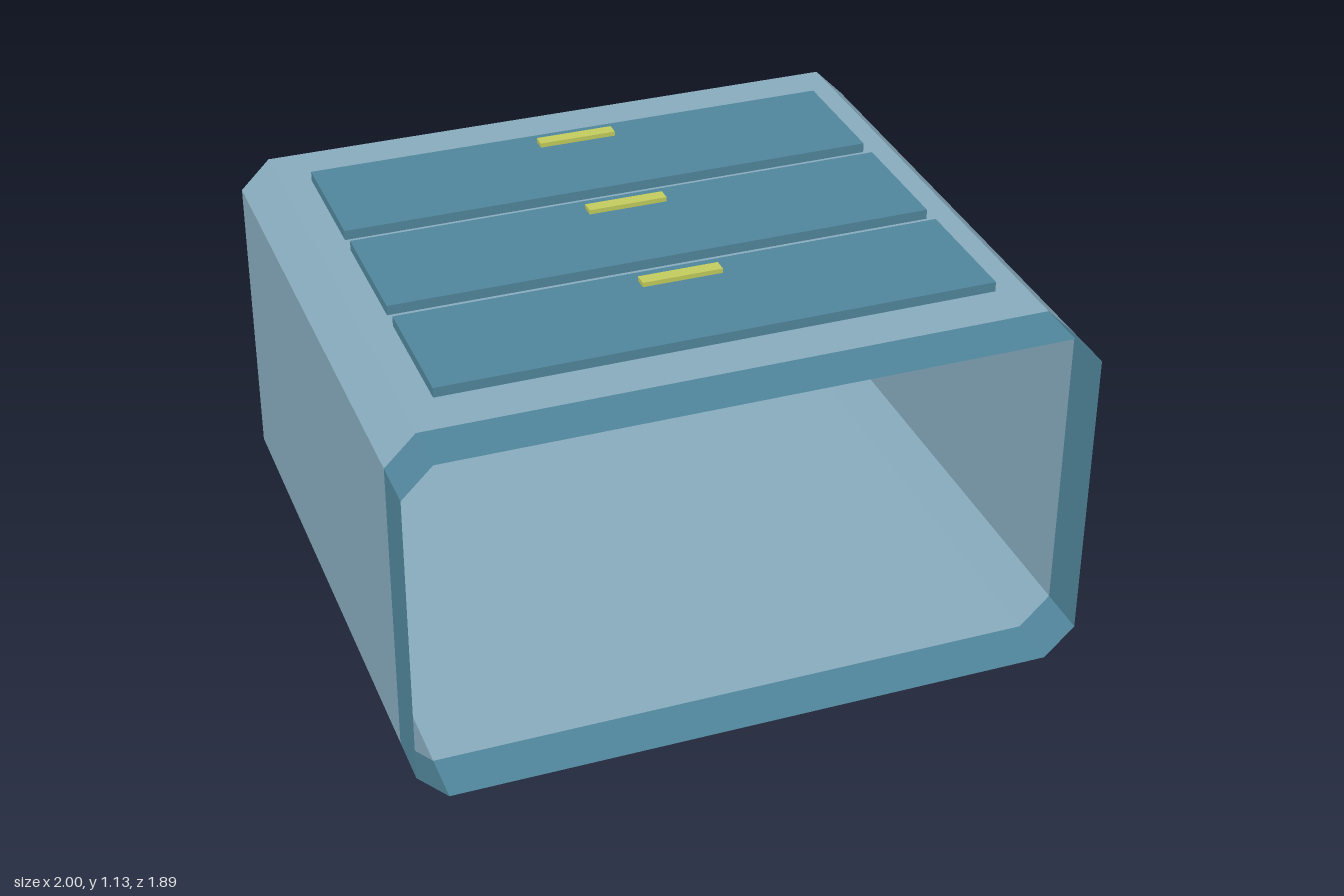
import * as THREE from 'three';

const material = (name, color, side = THREE.FrontSide) => {
  const m = new THREE.MeshStandardMaterial({ color, side });
  m.name = name;
  return m;
};

// Chamfered rectangle, anticlockwise seen from the front
const W = 1, H = 1.09, C = 0.09;
const ringAt = (z) => [
  [W - C, 0], [W, C], [W, H - C], [W - C, H],
  [-W + C, H], [-W, H - C], [-W, C], [-W + C, 0],
].map(([x, y]) => [x, y, z]);

// Smaller rectangle of the back wall, with each corner doubled to match the rings
const backRing = (z) => [
  [W - C, C], [W - C, C], [W - C, H - C], [W - C, H - C],
  [-W + C, H - C], [-W + C, H - C], [-W + C, C], [-W + C, C],
].map(([x, y]) => [x, y, z]);

const same = (a, b) => a.every((v, i) => v === b[i]);

// Flat faces between a front ring and a rear ring
function bandTriangles(front, rear) {
  const out = [];
  const tri = (a, b, c) => {
    if (!same(a, b) && !same(b, c) && !same(a, c)) out.push(...a, ...b, ...c);
  };
  front.forEach((a, i) => {
    const j = (i + 1) % front.length;
    tri(a, rear[i], rear[j]);
    tri(a, rear[j], front[j]);
  });
  return out;
}

function meshFrom(name, positions, mat) {
  const geo = new THREE.BufferGeometry();
  geo.setAttribute('position', new THREE.Float32BufferAttribute(positions, 3));
  geo.computeVertexNormals();
  const mesh = new THREE.Mesh(geo, mat);
  mesh.name = name;
  return mesh;
}

function box(name, w, h, d, y, z, mat) {
  const mesh = new THREE.Mesh(new THREE.BoxGeometry(w, h, d), mat);
  mesh.position.set(0, y, z);
  mesh.name = name;
  return mesh;
}

export function createModel() {
  const group = new THREE.Group();
  group.name = 'openCabinet';
  const shellMat = material('paleBlue', 0x87abbd, THREE.DoubleSide);
  const rimMat = material('tealRim', 0x51869c, THREE.DoubleSide);
  const panelMat = material('tealPanel', 0x51869c);
  const handleMat = material('yellowGreen', 0xc2cb5d);

  // Thin open shell: walls, rear chamfers and back wall
  const zFront = 0.945, zRim = 0.785, zRear = -0.855, zBack = -0.945;
  const back = backRing(zBack);
  const [a, b, c, d] = [back[0], back[2], back[4], back[6]];
  const shell = [
    ...bandTriangles(ringAt(zRim), ringAt(zRear)),
    ...bandTriangles(ringAt(zRear), back),
    ...a, ...c, ...b, ...a, ...d, ...c,
  ];
  group.add(meshFrom('shell', shell, shellMat));

  // Coloured band around the open front
  group.add(meshFrom('frontRim', bandTriangles(ringAt(zFront), ringAt(zRim)), rimMat));

  // Three drawer panels on top, each with a handle near its rear edge
  [-0.475, -0.017, 0.438].forEach((z, i) => {
    const drawer = new THREE.Group();
    drawer.name = `drawer${i + 1}`;
    drawer.add(
      box('drawerPanel', 1.64, 0.046, 0.395, 1.097, z, panelMat),
      box('drawerHandle', 0.24, 0.02, 0.04, 1.124, z - 0.133, handleMat),
    );
    group.add(drawer);
  });
  return group;
}
